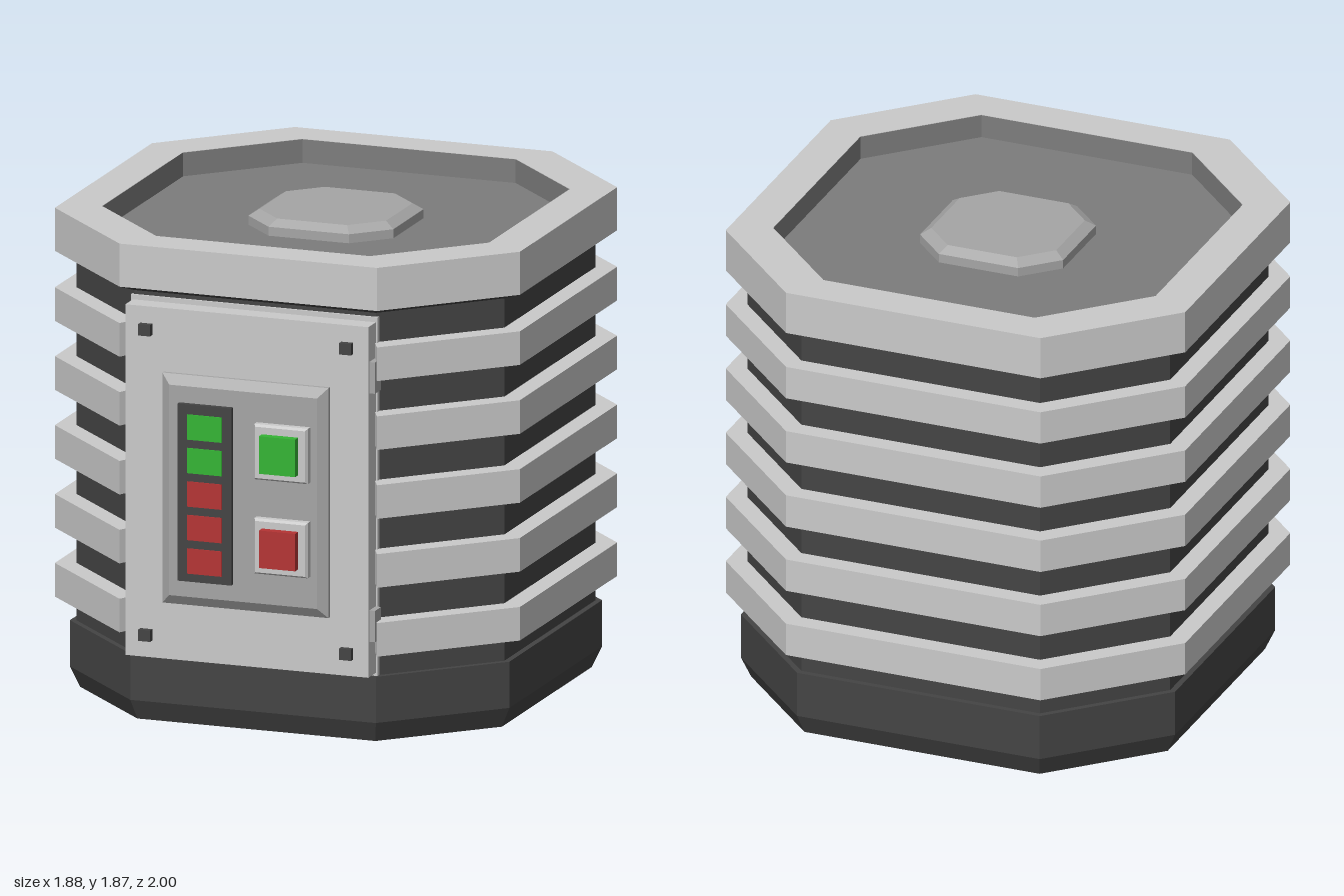
import * as THREE from 'three';

const mat = (name, color) => {
  const m = new THREE.MeshStandardMaterial({ color });
  m.name = name;
  return m;
};

// Corners of a chamfered square: h = half width, f = half length of the flat sides
const octagon = (h, f) => [[h, -f], [h, f], [f, h], [-f, h], [-h, f], [-h, -f], [-f, -h], [f, -h]];
const octRing = (h, f, y) => octagon(h, f).map(([x, v]) => [x, y, -v]);
const rectRing = (w, h, z) => [[w, -h, z], [w, h, z], [-w, h, z], [-w, -h, z]];

// Flat-faced skin through matching cross-sections, with optional end caps
function loft(rings, capStart = true, capEnd = true) {
  const p = [];
  const tri = (a, b, c) => p.push(...a, ...b, ...c);
  const n = rings[0].length;
  for (let r = 0; r < rings.length - 1; r++) {
    for (let i = 0; i < n; i++) {
      const j = (i + 1) % n, a = rings[r], b = rings[r + 1];
      tri(a[i], a[j], b[j]);
      tri(a[i], b[j], b[i]);
    }
  }
  const first = rings[0], last = rings[rings.length - 1];
  for (let i = 1; i < n - 1; i++) {
    if (capStart) tri(first[0], first[i + 1], first[i]);
    if (capEnd) tri(last[0], last[i], last[i + 1]);
  }
  const g = new THREE.BufferGeometry();
  g.setAttribute('position', new THREE.Float32BufferAttribute(p, 3));
  g.computeVertexNormals();
  return g;
}

const toShape = (pts) => new THREE.Shape(pts.map(([x, y]) => new THREE.Vector2(x, y)));

// Flat shape extruded upwards from height y
function slab(shape, y, depth) {
  const g = new THREE.ExtrudeGeometry(shape, { depth, bevelEnabled: false });
  return g.rotateX(-Math.PI / 2).translate(0, y, 0);
}

export function createModel() {
  const light = mat('light grey metal', 0xcacaca);
  const mid = mat('mid grey metal', 0xa6a6a6);
  const floorGrey = mat('lid grey', 0x7d7d7d);
  const dark = mat('dark grey', 0x444444);
  const green = mat('green', 0x34b534);
  const red = mat('red', 0xb53434);

  const model = new THREE.Group();
  const add = (parent, name, geo, material) => {
    const m = new THREE.Mesh(geo, material);
    m.name = name;
    parent.add(m);
    return m;
  };
  // Box given by its limits
  const box = (parent, name, material, x0, x1, y0, y1, z0, z1) => {
    const g = new THREE.BoxGeometry(x1 - x0, y1 - y0, z1 - z0);
    g.translate((x0 + x1) / 2, (y0 + y1) / 2, (z0 + z1) / 2);
    return add(parent, name, g, material);
  };

  // Eight-sided body, set back to make room for the control panel
  const body = new THREE.Group();
  body.name = 'body';
  body.position.z = -0.0625;
  model.add(body);

  add(body, 'base', loft([
    octRing(0.85, 0.48, 0), octRing(0.886, 0.495, 0.08), octRing(0.886, 0.495, 0.26),
  ]), dark);
  add(body, 'core', loft([
    octRing(0.863, 0.487, 0.26), octRing(0.863, 0.487, 1.672), octRing(0.9375, 0.519, 1.7),
  ], false, false), dark);

  // Cooling rings, open at the front behind the panel
  const opening = [6, 7, 0, 1, 2, 3, 4, 5];
  const outer = octagon(0.9375, 0.519), inner = octagon(0.84, 0.47);
  const cRing = toShape([
    ...opening.map((i) => outer[(i + 1) % 8]),
    ...opening.map((i) => inner[(i + 1) % 8]).reverse(),
  ]);
  for (let i = 0; i < 5; i++) {
    add(body, 'coolingRing', slab(cRing, 0.353 + i * 0.2685, 0.131), light);
  }

  // Lid: rim, sunken tray and central cap
  const rim = toShape(octagon(0.9375, 0.519));
  rim.holes.push(new THREE.Path(octagon(0.78, 0.431).map(([x, y]) => new THREE.Vector2(x, y))));
  add(body, 'lidRim', slab(rim, 1.7, 0.168), light);
  add(body, 'lidTray', loft([octRing(0.779, 0.43, 1.867), octRing(0.779, 0.43, 1.775)], false), floorGrey);
  add(body, 'lidCap', loft([
    octRing(0.292, 0.162, 1.775), octRing(0.292, 0.162, 1.81), octRing(0.255, 0.141, 1.835),
  ], false), mid);

  // Control panel door with hinges and bolts
  const panel = new THREE.Group();
  panel.name = 'controlPanel';
  model.add(panel);
  box(panel, 'doorFrame', light, -0.497, 0.497, 0.26, 1.657, 0.76, 0.81);
  box(panel, 'door', light, -0.49, 0.49, 0.272, 1.638, 0.81, 0.89);
  for (const y of [0.41, 1.378]) {
    box(panel, 'hinge', mid, 0.47, 0.513, y, y + 0.122, 0.815, 0.88);
  }
  for (const x of [-0.405, 0.405]) {
    for (const y of [0.36, 1.55]) {
      box(panel, 'bolt', dark, x - 0.024, x + 0.024, y - 0.022, y + 0.022, 0.88, 0.915);
    }
  }

  // Raised bevelled plate
  const plate = add(panel, 'raisedPlate', loft([
    rectRing(0.335, 0.448, 0.885), rectRing(0.335, 0.448, 0.905), rectRing(0.298, 0.41, 0.93),
  ]), mid);
  plate.position.y = 0.942;

  // Indicator strip: two green lamps over three red ones
  box(panel, 'indicatorStrip', dark, -0.257, -0.04, 0.597, 1.287, 0.92, 0.95);
  for (let i = 0; i < 5; i++) {
    const y = 1.2 - i * 0.1305;
    box(panel, 'indicatorLamp', i < 2 ? green : red, -0.217, -0.078, y - 0.049, y + 0.049, 0.947, 0.955);
  }

  // Push buttons on light bases
  for (const [y, colour] of [[1.13, green], [0.763, red]]) {
    const base = add(panel, 'buttonBase', loft([
      rectRing(0.108, 0.108, 0.925), rectRing(0.108, 0.108, 0.955), rectRing(0.1, 0.1, 0.967),
    ]), light);
    base.position.set(0.163, y, 0);
    box(panel, 'button', colour, 0.09, 0.236, y - 0.073, y + 0.073, 0.96, 1.0);
  }

  return model;
}
